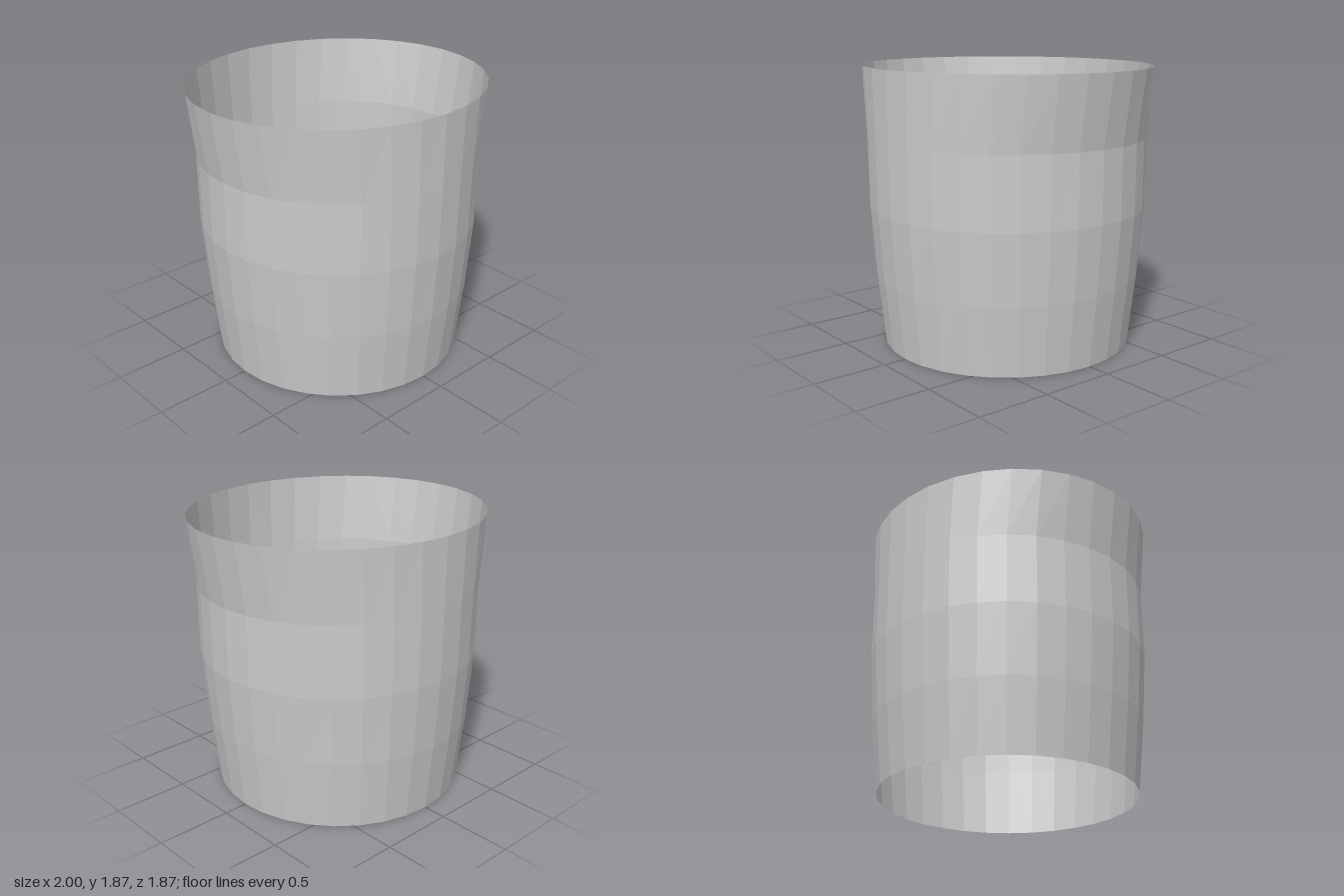
import * as THREE from 'three';

export function createModel() {
  const group = new THREE.Group();
  group.name = 'openSleeve';

  // Rings from bottom to top: height, half width in x, half depth in z
  const rings = [
    [0, 0.84, 0.843],
    [0.47, 0.893, 0.893],
    [0.935, 0.93, 0.925],
    [1.4, 0.93, 0.932],
    [1.866, 1, 0.934],
  ];

  // Open tube whose rows are moved onto the elliptical rings
  const geometry = new THREE.CylinderGeometry(1, 1, 1, 32, rings.length - 1, true);
  const pos = geometry.attributes.position;
  for (let i = 0; i < pos.count; i++) {
    const row = Math.round((pos.getY(i) + 0.5) * (rings.length - 1));
    const [y, rx, rz] = rings[row];
    pos.setXYZ(i, pos.getX(i) * rx, y, pos.getZ(i) * rz);
  }
  geometry.computeVertexNormals();

  const material = new THREE.MeshStandardMaterial({
    color: 0xcccccc,
    flatShading: true,
    side: THREE.DoubleSide,
  });
  const wall = new THREE.Mesh(geometry, material);
  wall.name = 'wall';
  group.add(wall);
  return group;
}
